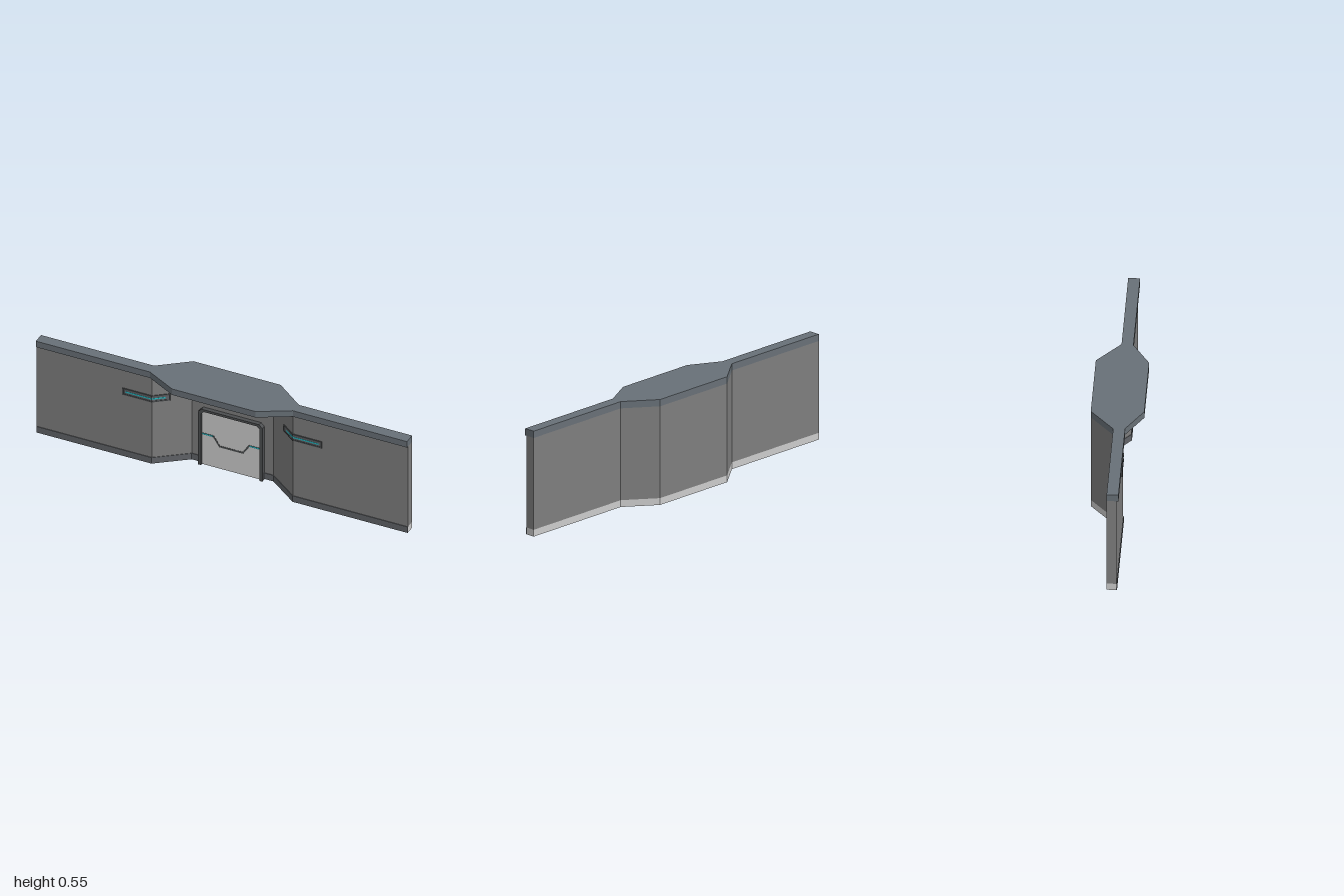
import * as THREE from 'three';

const mat = (color) => new THREE.MeshStandardMaterial({ color, flatShading: true });
const wallMat = mat(0x7e7e7e);
const roofMat = mat(0x687077);
const trimMat = mat(0x606367);
const lightMat = mat(0xcccccc);
const darkMat = mat(0x4c4e50);
const glowMat = mat(0x25bcc6);

// Upright prism from a plan outline of [x, z] points
function prism(name, plan, y0, y1, material) {
  const shape = new THREE.Shape(plan.map(([x, z]) => new THREE.Vector2(x, -z)));
  const geo = new THREE.ExtrudeGeometry(shape, { depth: y1 - y0, bevelEnabled: false });
  geo.rotateX(-Math.PI / 2).translate(0, y0, 0);
  const mesh = new THREE.Mesh(geo, material);
  mesh.name = name;
  return mesh;
}

// Flat outline in x, y given thickness along z
function panel(name, shape, z0, z1, material) {
  const geo = new THREE.ExtrudeGeometry(shape, { depth: z1 - z0, bevelEnabled: false });
  geo.translate(0, 0, z0);
  const mesh = new THREE.Mesh(geo, material);
  mesh.name = name;
  return mesh;
}

const mirrorPath = (half) => [...half.map(([x, z]) => [-x, z]), ...[...half].reverse()];
const shift = (path, dz) => path.map(([x, z]) => [x, z + dz]);
const strip = (path, inner, outer) => [...shift(path, outer), ...shift(path, inner).reverse()];
const polygon = (pts) => new THREE.Shape(pts.map(([x, y]) => new THREE.Vector2(x, y)));

// Door outline with chamfered top corners
const doorPoints = (w, y0, y1, c) => [
  [-w, y0], [w, y0], [w, y1 - c], [w - c, y1], [-w + c, y1], [-w, y1 - c],
];

export function createModel() {
  const model = new THREE.Group();
  model.name = 'wallSection';

  // Plan paths: the wall steps back at the entrance, the roof steps out over it
  const wallFront = mirrorPath([[1, 0.035], [0.38, 0.035], [0.22, -0.083]]);
  const roofFront = mirrorPath([[1, 0.045], [0.385, 0.045], [0.225, 0.13]]);
  const back = mirrorPath([[1, -0.013], [0.39, -0.013], [0.235, -0.13]]);
  const backReversed = [...back].reverse();

  model.add(prism('wall', [...wallFront, ...backReversed], 0.043, 0.515, wallMat));
  model.add(prism('base', [...wallFront, ...backReversed], 0.008, 0.043, lightMat));
  model.add(prism('baseTrim', strip(wallFront, -0.001, 0.003), 0.008, 0.043, trimMat));
  model.add(prism('roof', [...roofFront, ...backReversed], 0.515, 0.55, roofMat));

  // Door with raised frame
  const door = new THREE.Group();
  door.name = 'door';
  door.position.x = -0.003;
  const frame = polygon([
    [-0.173, 0.003], [-0.158, 0.003], [-0.158, 0.305], [-0.143, 0.32], [0.143, 0.32],
    [0.158, 0.305], [0.158, 0.003], [0.173, 0.003], [0.173, 0.315], [0.155, 0.333],
    [-0.155, 0.333], [-0.173, 0.315],
  ]);
  door.add(panel('doorFrame', frame, -0.09, -0.061, darkMat));
  door.add(panel('doorPanel', polygon(doorPoints(0.158, 0.004, 0.32, 0.015)), -0.09, -0.072, lightMat));

  // Stepped seam across the door, with glowing ends
  const seam = [[-0.158, 0.184], [-0.098, 0.184], [-0.065, 0.134], [0.065, 0.134], [0.098, 0.184], [0.158, 0.184]];
  const seamShape = polygon([
    ...seam.map(([x, y]) => [x, y - 0.005]),
    ...[...seam].reverse().map(([x, y]) => [x * (Math.abs(x) < 0.15 ? 0.95 : 1), y + 0.005]),
  ]);
  door.add(panel('doorSeam', seamShape, -0.073, -0.071, darkMat));
  for (const s of [-1, 1]) {
    const glow = new THREE.Mesh(new THREE.BoxGeometry(0.058, 0.006, 0.002), glowMat);
    glow.name = 'doorGlow';
    glow.position.set(s * 0.128, 0.184, -0.071);
    door.add(glow);
  }
  model.add(door);

  // Lamps wrapped around the bends of the wall
  const slope = (0.035 + 0.083) / 0.16;
  const lampPath = (s, inner, outer) => {
    const path = [[inner, 0.035 - (0.38 - inner) * slope], [0.38, 0.035], [outer, 0.035]];
    return s > 0 ? path : path.map(([x, z]) => [-x, z]).reverse();
  };
  for (const s of [-1, 1]) {
    const lamp = new THREE.Group();
    lamp.name = s > 0 ? 'leftLamp' : 'rightLamp';
    const rim = lampPath(s, 0.305, 0.537);
    lamp.add(prism('lampPlate', strip(rim, -0.002, 0.002), 0.372, 0.404, trimMat));
    lamp.add(prism('lampRimTop', strip(rim, -0.002, 0.004), 0.4, 0.407, darkMat));
    lamp.add(prism('lampRimBottom', strip(rim, -0.002, 0.004), 0.368, 0.375, darkMat));
    const ends = [[0.53, 0.035], [0.305, 0.035 - 0.075 * slope]];
    for (const [x, z] of ends) {
      const cap = new THREE.Mesh(new THREE.BoxGeometry(0.007, 0.039, 0.008), darkMat);
      cap.name = 'lampRimEnd';
      cap.position.set(s * (x + 0.0035), 0.3875, z + 0.001);
      lamp.add(cap);
    }
    lamp.add(prism('lampGlow', strip(lampPath(s, 0.325, 0.52), 0, 0.003), 0.384, 0.391, glowMat));
    model.add(lamp);
  }

  return model;
}
